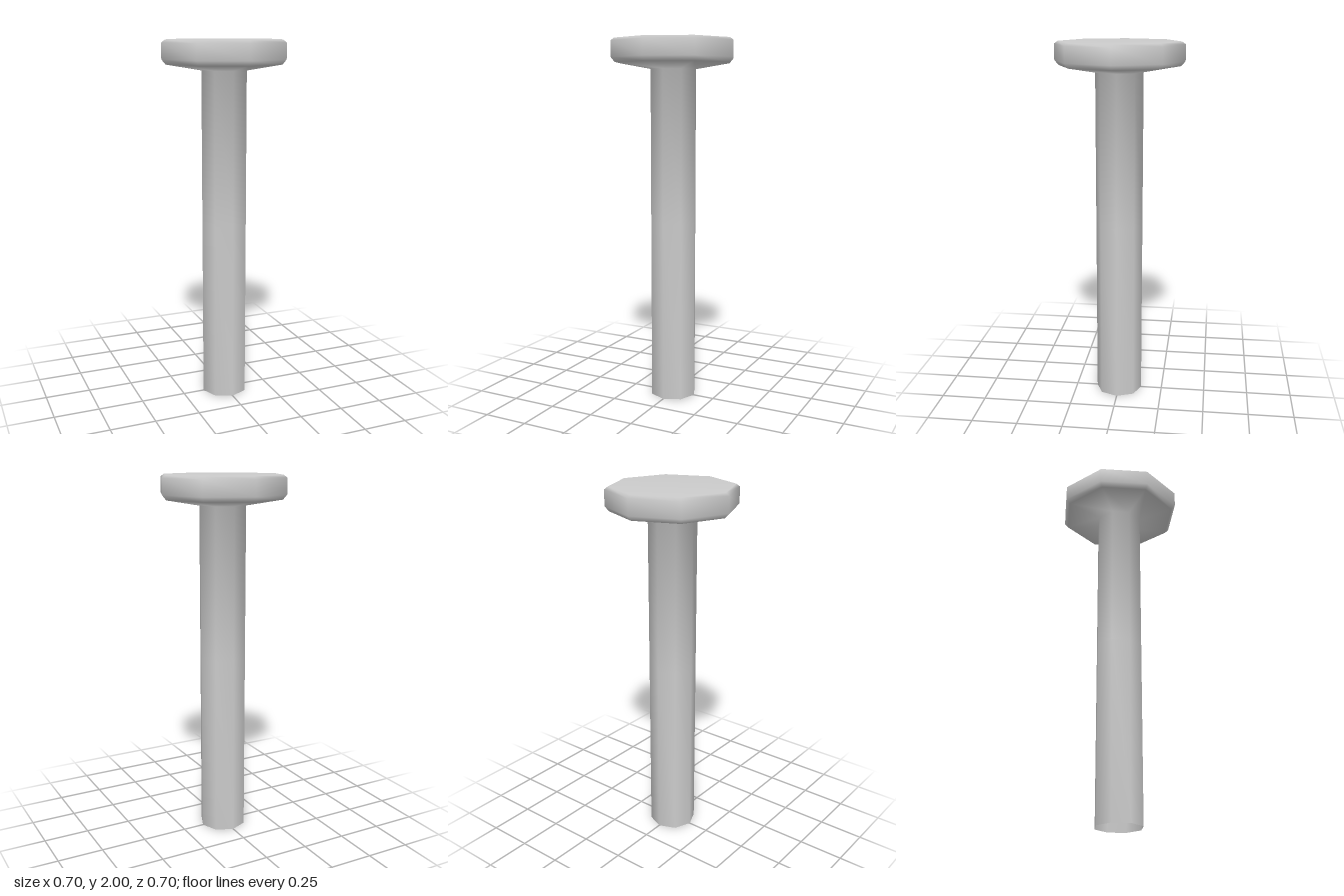
import * as THREE from 'three';
import { mergeVertices } from 'three/addons/utils/BufferGeometryUtils.js';

const SIDES = 8;

export function createModel() {
  const group = new THREE.Group();
  group.name = 'flatHeadedPin';

  // Profile from the open foot of the shaft up to the middle of the head
  const profile = [
    [0.13, 0], [0.13, 1.0], [0.13, 1.84],  // shaft
    [0.328, 1.874], [0.35, 1.9],           // underside and lower bevel
    [0.35, 1.985], [0.33, 2], [0, 2],      // rim, upper bevel, top
  ].map(([r, y]) => new THREE.Vector2(r, y));

  // Weld the seam so the eight sides shade smoothly, weighted by face area
  let geometry = new THREE.LatheGeometry(profile, SIDES);
  geometry.deleteAttribute('uv');
  geometry.deleteAttribute('normal');
  geometry = mergeVertices(geometry, 1e-4);
  geometry.computeVertexNormals();

  // Shaft and head are one continuous skin; the foot is open
  const pin = new THREE.Mesh(
    geometry,
    new THREE.MeshStandardMaterial({ color: 0xcccccc, side: THREE.DoubleSide })
  );
  pin.name = 'shaftAndHead';
  group.add(pin);
  return group;
}
